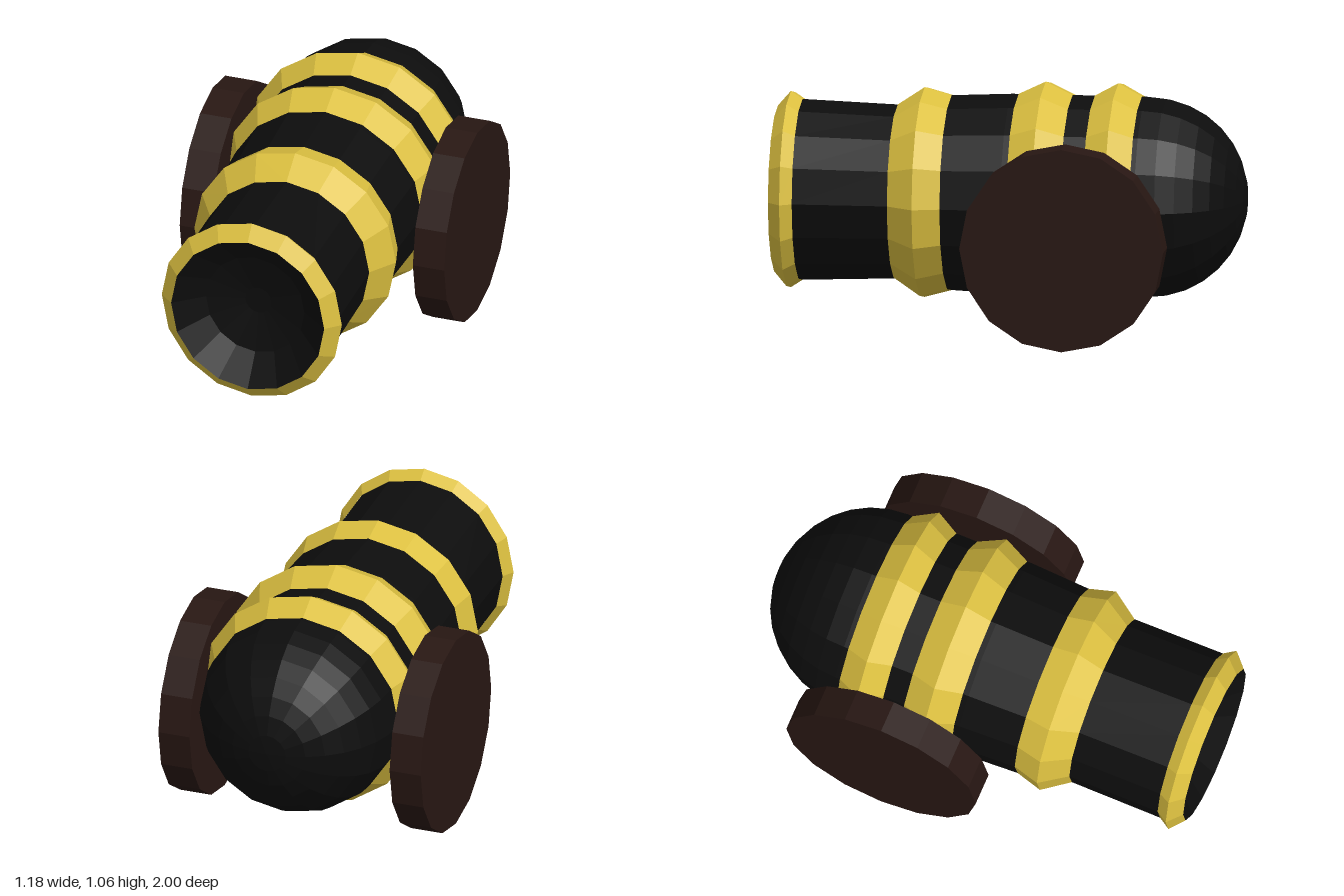
import * as THREE from 'three';

const SIDES = 16;
const AXIS_Y = 0.57;

const paint = (color) => new THREE.MeshStandardMaterial({ color, flatShading: true });

// Revolves [radius, z] points (back to front) about the barrel axis;
// the barrel narrows slightly sideways towards the muzzle.
function turned(points) {
  const geo = new THREE.LatheGeometry(points.map(([r, z]) => new THREE.Vector2(r, z)), SIDES);
  geo.rotateX(Math.PI / 2);
  const pos = geo.attributes.position;
  for (let i = 0; i < pos.count; i++) {
    const t = THREE.MathUtils.clamp((pos.getZ(i) - 0.375) / 0.525, 0, 1);
    pos.setX(i, pos.getX(i) * (1 - 0.046 * t));
  }
  geo.computeVertexNormals();
  return geo;
}

export function createModel() {
  const model = new THREE.Group();
  model.name = 'cannon';
  const iron = paint(0x0d0d0d);
  const brass = paint(0xdcc040);
  const wood = paint(0x281713);

  const add = (name, geo, material, x, y, z) => {
    const mesh = new THREE.Mesh(geo, material);
    mesh.name = name;
    mesh.position.set(x, y, z);
    model.add(mesh);
  };

  // Barrel: round breech, tapering tube, shallow dished bore
  const profile = [];
  for (let i = 0; i <= 8; i++) {
    const a = (i / 8) * Math.PI / 2;
    profile.push([0.43 * Math.sin(a), -0.57 - 0.43 * Math.cos(a)]);
  }
  profile.push([0.43, 0], [0.418, 0.26], [0.373, 0.49], [0.388, 0.9], [0.358, 1]);
  add('barrel', turned(profile), iron, 0, AXIS_Y, 0);
  add('bore', turned([[0.358, 1], [0.23, 0.9], [0.06, 0.86], [0, 0.86]]), iron, 0, AXIS_Y, 0);

  // Ridged bands around the barrel
  const bands = {
    breechBand: [[0.43, -0.55], [0.485, -0.45], [0.43, -0.35]],
    trunnionBand: [[0.43, -0.255], [0.485, -0.14], [0.43, -0.025]],
    middleBand: [[0.418, 0.26], [0.45, 0.375], [0.373, 0.49]],
    muzzleBand: [[0.388, 0.895], [0.421, 0.945], [0.358, 1]],
  };
  for (const [name, points] of Object.entries(bands)) {
    add(name, turned(points), brass, 0, AXIS_Y, 0);
  }

  // Solid wheels
  const wheel = new THREE.CylinderGeometry(0.434, 0.434, 0.14, SIDES).rotateZ(Math.PI / 2);
  add('leftWheel', wheel, wood, 0.52, 0.434, -0.28);
  add('rightWheel', wheel, wood, -0.52, 0.434, -0.28);

  return model;
}
